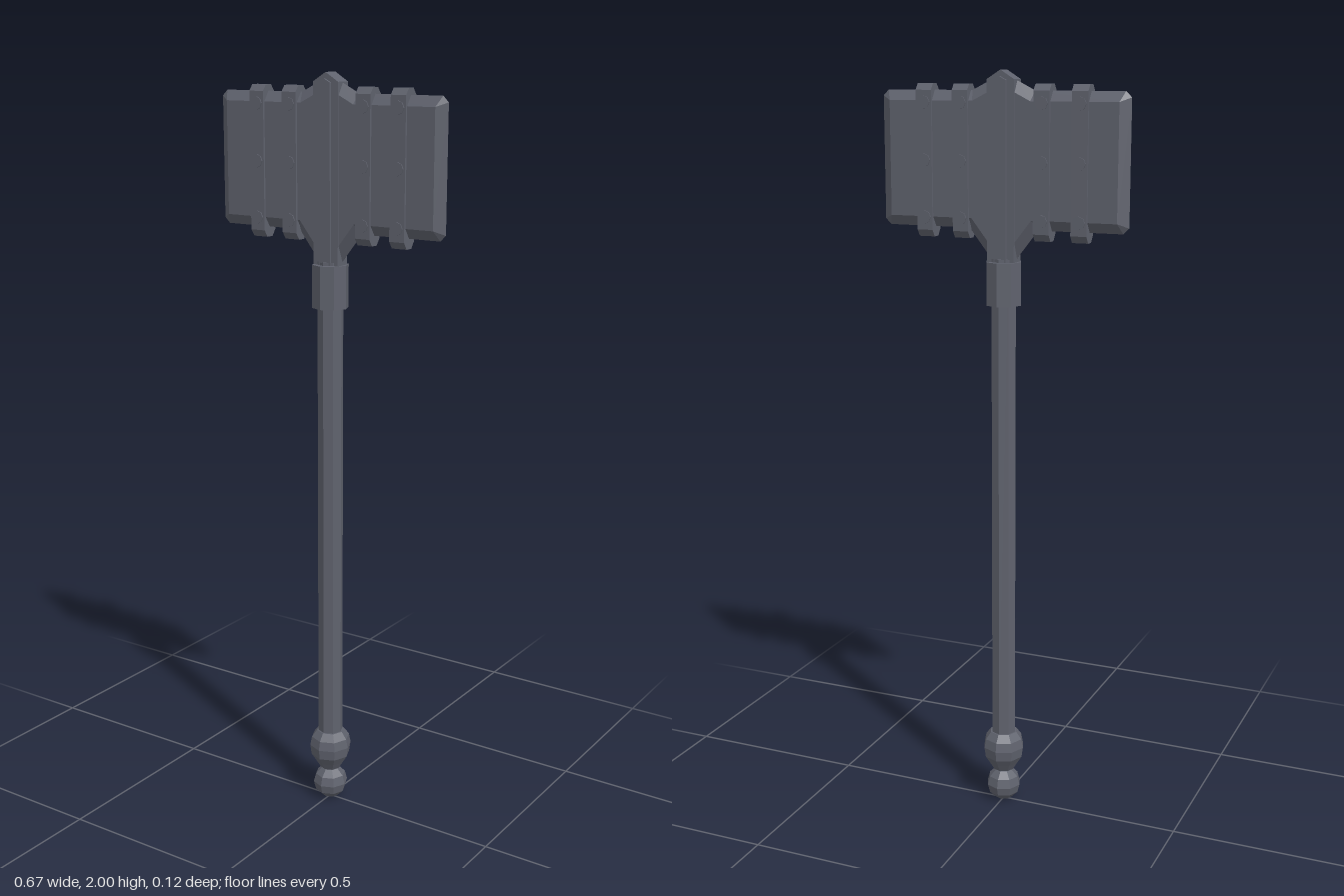
import * as THREE from 'three';

export function createModel() {
  const group = new THREE.Group();
  const steel = new THREE.MeshStandardMaterial({ color: 0x5f626d, flatShading: true });
  steel.name = 'dark steel';

  const add = (name, geometry, x = 0, y = 0, z = 0) => {
    const mesh = new THREE.Mesh(geometry, steel);
    mesh.name = name;
    mesh.position.set(x, y, z);
    group.add(mesh);
    return mesh;
  };

  // Mirrored outline from right-half points, running top to bottom
  const mirrored = (half) => {
    const left = half.filter(([x]) => x > 0).reverse().map(([x, y]) => [-x, y]);
    return new THREE.Shape([...half, ...left].map(([x, y]) => new THREE.Vector2(x, y)));
  };

  // Plate centred on z = 0, its edges bevelled inside the outline
  const plate = (half, halfDepth, bevel, slope) => {
    const depth = 2 * (halfDepth - bevel) + 0.001;
    const geometry = new THREE.ExtrudeGeometry(mirrored(half), {
      depth, bevelEnabled: bevel > 0, bevelThickness: bevel,
      bevelSize: slope, bevelOffset: -slope, bevelSegments: 1,
    });
    return geometry.translate(0, 0, -depth / 2);
  };

  // Handle and collar, eight-sided
  add('shaft', new THREE.CylinderGeometry(0.034, 0.034, 1.33, 8), 0, 0.865);
  add('collar', new THREE.CylinderGeometry(0.048, 0.048, 0.112, 8), 0, 1.466);

  // Pommel: a large knob above a small ball
  const knob = [[0, 0.09], [0.028, 0.095], [0.04, 0.115], [0.054, 0.137], [0.058, 0.165],
    [0.053, 0.19], [0.038, 0.21], [0, 0.21]];
  add('pommelKnob', new THREE.LatheGeometry(knob.map(([x, y]) => new THREE.Vector2(x, y)), 8));
  add('pommelBall', new THREE.SphereGeometry(0.048, 8, 6), 0, 0.05);

  // Double head, ground to a ridge along the whole edge
  add('head', plate([[0, 1.995], [0.037, 1.974], [0.085, 1.95], [0.322, 1.95], [0.337, 1.935],
    [0.337, 1.62], [0.322, 1.605], [0.095, 1.605], [0.032, 1.525]], 0.018, 0.018, 0.026));

  // Central spine with a raised rib on both faces
  add('spine', plate([[0, 2.0], [0.037, 1.977], [0.037, 1.515]], 0.0215, 0, 0));
  add('rib', plate([[0, 1.984], [0.017, 1.975], [0.017, 1.515]], 0.028, 0, 0));

  // Bands wrapped over the head, each with three rivets per face
  for (const x of [-0.212, -0.111, 0.111, 0.212]) {
    const profile = new THREE.Shape([[0.011, 1.966], [0.024, 1.95], [0.024, 1.597], [0.011, 1.579],
      [-0.011, 1.579], [-0.024, 1.597], [-0.024, 1.95], [-0.011, 1.966]]
      .map(([z, y]) => new THREE.Vector2(z, y)));
    const band = new THREE.ExtrudeGeometry(profile, { depth: 0.043, bevelEnabled: false });
    band.translate(0, 0, -0.0215).rotateY(Math.PI / 2);
    add('band', band, x);
    for (const y of [1.92, 1.775, 1.63]) {
      const rivet = new THREE.CylinderGeometry(0.017, 0.017, 0.053, 8).rotateX(Math.PI / 2);
      add('rivet', rivet, x, y);
    }
  }
  return group;
}
